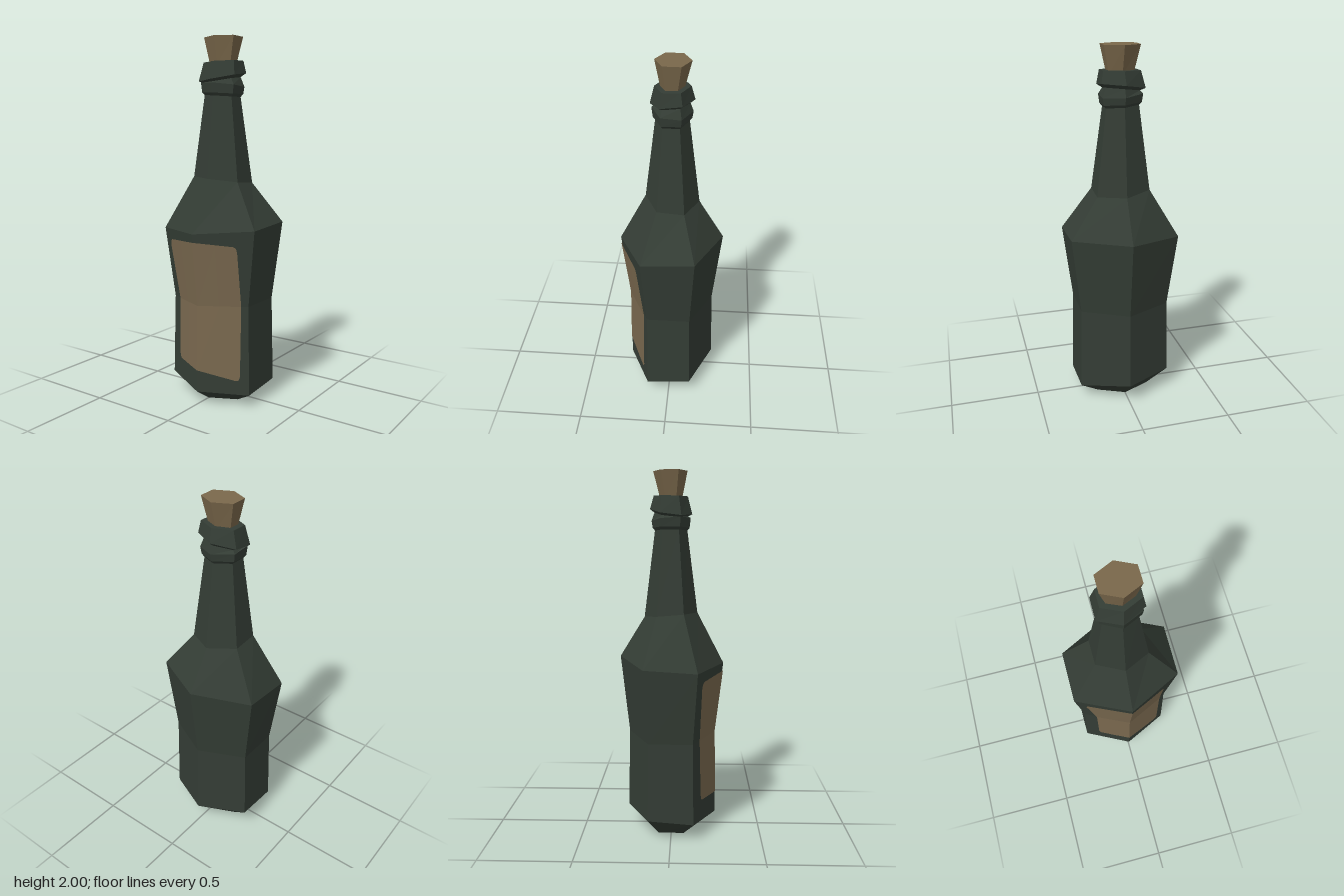
import * as THREE from 'three';

// Rings, bottom to top: height, half width, half depth, tilt over x, tilt over z, centre x, centre z
const bodyRings = [
  [0.004, 0.15, 0.14, 0, -0.002, 0, 0],
  [0.095, 0.26, 0.25, -0.015, -0.02, 0, 0],
  [0.56, 0.25, 0.24, 0.005, 0, 0, 0],
  [0.975, 0.3, 0.288, 0.015, -0.018, 0, 0],
  [1.228, 0.146, 0.146, -0.01, 0.012, -0.004, -0.005],
  [1.685, 0.089, 0.088, -0.006, 0, -0.006, -0.004],
  [1.70, 0.102, 0.1, -0.006, 0, -0.006, -0.004],
  [1.745, 0.108, 0.106, -0.008, 0.008, -0.006, -0.004],
  [1.77, 0.09, 0.09, 0.01, -0.01, -0.008, -0.004],
  [1.785, 0.118, 0.114, 0.014, -0.014, -0.008, -0.004],
  [1.868, 0.1, 0.092, 0.002, -0.002, -0.002, -0.006],
];
const corkRings = [
  [1.85, 0.066, 0.058, 0, 0, -0.002, -0.004],
  [1.998, 0.097, 0.092, 0, 0.001, -0.003, -0.008],
];

// Corner k of a six-sided ring, counted from the front edge towards +x
function corner([y, hx, hz, tx, tz, cx, cz], k) {
  const a = (k * Math.PI) / 3;
  const sx = Math.sin(a) / Math.cos(Math.PI / 6);
  const sz = Math.cos(a);
  return new THREE.Vector3(cx + hx * sx, y + tx * sx + tz * sz, cz + hz * sz);
}

function flatGeometry(triangles) {
  const geometry = new THREE.BufferGeometry().setFromPoints(triangles);
  geometry.computeVertexNormals();
  return geometry;
}

// Capped six-sided solid through a stack of rings
function hexLoft(rings) {
  const tris = [];
  const first = rings[0];
  const last = rings[rings.length - 1];
  const centre = (r) => new THREE.Vector3(r[5], r[0], r[6]);
  for (let k = 0; k < 6; k++) {
    for (let i = 0; i < rings.length - 1; i++) {
      const a = corner(rings[i], k), b = corner(rings[i], k + 1);
      const c = corner(rings[i + 1], k + 1), d = corner(rings[i + 1], k);
      tris.push(a, b, c, a, c, d);
    }
    tris.push(corner(last, k), corner(last, k + 1), centre(last));
    tris.push(corner(first, k + 1), corner(first, k), centre(first));
  }
  return flatGeometry(tris);
}

// Half of the label, laid just over the front face on one side (+1 or -1).
// edge: share of the face covered at bottom, middle and top
function labelHalf(side, edge, bottomY, topY) {
  const [low, mid, high] = bodyRings.slice(1, 4);
  const outward = new THREE.Vector3(side * 0.5, 0, 0.87).multiplyScalar(0.005);
  const along = (ring, u) => corner(ring, 0).lerp(corner(ring, side), u);
  const place = (r0, r1, u, y) => {
    const p = along(r0, u), q = along(r1, u);
    return p.lerp(q, (y - p.y) / (q.y - p.y)).add(outward);
  };
  // Stations across, with the cut that rounds the outer corners
  const columns = [[0, 0], [0.5, 0], [0.91, 0], [0.97, 0.008], [1, 0.03]].map(([s, cut]) => [
    place(low, mid, s * edge[0], THREE.MathUtils.lerp(bottomY[0], bottomY[1], s) + cut),
    along(mid, s * edge[1]).add(outward),
    place(mid, high, s * edge[2], THREE.MathUtils.lerp(topY[0], topY[1], s) - cut),
  ]);
  // Both halves meet on the front edge
  columns[0].forEach((p) => { p.x = 0; });
  const tris = [];
  for (let i = 0; i < columns.length - 1; i++) {
    const [l, r] = side > 0 ? [columns[i], columns[i + 1]] : [columns[i + 1], columns[i]];
    for (let j = 0; j < 2; j++) {
      tris.push(l[j], r[j], r[j + 1], l[j], r[j + 1], l[j + 1]);
    }
  }
  return flatGeometry(tris);
}

export function createModel() {
  const glass = new THREE.MeshStandardMaterial({ color: 0x343d35, flatShading: true });
  glass.name = 'dark green glass';
  const paper = new THREE.MeshStandardMaterial({ color: 0x7a694f, flatShading: true, side: THREE.DoubleSide });
  paper.name = 'brown paper';
  const corkBrown = new THREE.MeshStandardMaterial({ color: 0x7a684b, flatShading: true });
  corkBrown.name = 'cork brown';

  const model = new THREE.Group();
  model.name = 'bottle';
  const add = (name, geometry, material, parent = model) => {
    const mesh = new THREE.Mesh(geometry, material);
    mesh.name = name;
    parent.add(mesh);
  };

  add('glassBody', hexLoft(bodyRings), glass);
  add('cork', hexLoft(corkRings), corkBrown);

  // Worn label wrapped around the front edge
  const label = new THREE.Group();
  label.name = 'label';
  add('labelLeft', labelHalf(1, [0.83, 0.86, 0.74], [0.197, 0.145], [0.912, 0.893]), paper, label);
  add('labelRight', labelHalf(-1, [0.7, 0.73, 0.82], [0.197, 0.212], [0.912, 0.893]), paper, label);
  model.add(label);
  return model;
}
